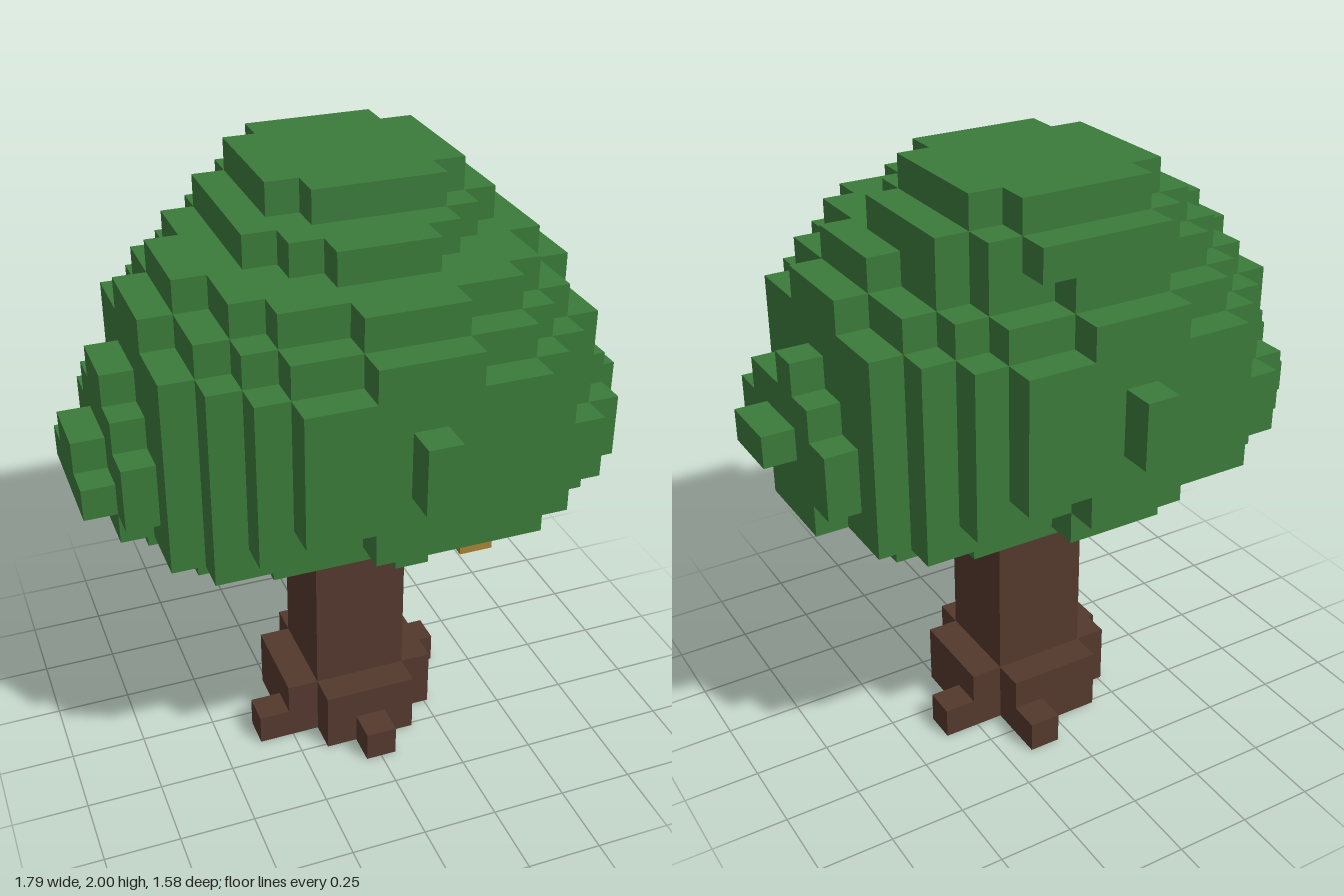
import * as THREE from 'three';
import { mergeGeometries } from 'three/addons/utils/BufferGeometryUtils.js';

const S = 2 / 19; // cube size: the tree is 19 cubes tall

// outward faces of a cube: neighbour offset and rotation of a plane facing +z
const FACES = [
  [[0, 0, 1], [0, 0, 0]],
  [[0, 0, -1], [0, Math.PI, 0]],
  [[1, 0, 0], [0, Math.PI / 2, 0]],
  [[-1, 0, 0], [0, -Math.PI / 2, 0]],
  [[0, 1, 0], [-Math.PI / 2, 0, 0]],
  [[0, -1, 0], [Math.PI / 2, 0, 0]],
];

const key = (x, y, z) => x + ',' + y + ',' + z;

export function createModel() {
  const cubes = new Map(); // cube position -> part name

  const fill = (part, x0, x1, y0, y1, z0, z1) => {
    for (let x = x0; x <= x1; x++)
      for (let y = y0; y <= y1; y++)
        for (let z = z0; z <= z1; z++) cubes.set(key(x, y, z), part);
  };
  // symmetric round layer: half width for each |z|
  const disc = (y, halves) => halves.forEach((h, z) => {
    fill('leaves', -h, h, y, y, z, z);
    fill('leaves', -h, h, y, y, -z, -z);
  });
  // uneven layer: [x0, x1] for successive z rows
  const rows = (y, z0, list) => list.forEach(([a, b], i) =>
    fill('leaves', a, b, y, y, z0 + i, z0 + i));

  // leaf crown, bottom to top
  disc(8, [5, 5, 5, 3]);
  fill('leaves', -6, -6, 8, 8, -1, 0);
  disc(9, [6, 6, 6, 6, 5]);
  disc(10, [6, 6, 6, 6, 5, 4, 1]);
  for (const y of [11, 12, 13, 14]) disc(y, [6, 6, 6, 6, 5, 4, 3]);
  disc(15, [6, 6, 5, 5, 4, 3, 1]);
  disc(16, [5, 5, 4, 4, 3, 1]);
  rows(17, -5, [[-1, 2], [-2, 3], [-3, 4], [-3, 4], [-3, 4], [-3, 4], [-3, 3], [-2, 2], [-1, 1]]);
  rows(18, -4, [[-1, 2], [-2, 3], [-2, 3], [-2, 3], [-2, 3], [-1, 2]]);

  // tufts on front, back and underside
  fill('leaves', 0, 0, 12, 13, 7, 7);
  fill('leaves', 0, 0, 12, 13, -7, -7);
  fill('leaves', 2, 3, 10, 10, 6, 6);
  fill('leaves', 0, 0, 9, 9, 5, 5);
  fill('leaves', -1, 1, 9, 9, -5, -5);

  // tufts on the +x side
  fill('leaves', 6, 6, 10, 11, 4, 4);
  fill('leaves', 7, 7, 9, 9, -1, 1);
  fill('leaves', 7, 7, 10, 11, -2, 3);
  fill('leaves', 7, 7, 12, 12, -1, 2);
  fill('leaves', 7, 7, 13, 13, 0, 0);
  fill('leaves', 8, 8, 11, 11, 0, 1);

  // tufts on the -x side
  fill('leaves', -6, -6, 10, 11, -4, -4);
  fill('leaves', -7, -7, 9, 9, -1, 1);
  fill('leaves', -7, -7, 10, 11, -3, 2);
  fill('leaves', -7, -7, 12, 12, -2, 1);
  fill('leaves', -7, -7, 13, 13, -1, 0);
  fill('leaves', -8, -8, 10, 10, -2, 1);
  fill('leaves', -8, -8, 11, 11, -1, 0);

  // hanging fruit
  fill('fruit', 2, 2, 9, 9, 5, 5);

  // trunk and side branch
  fill('trunk', -1, 1, 0, 8, -1, 1);
  fill('branch', -3, -2, 7, 7, 0, 0);

  // roots: a cross around the trunk with one stray cube per side
  fill('roots', -1, 1, 0, 1, 2, 2);
  fill('roots', -1, 1, 0, 1, -2, -2);
  fill('roots', 2, 2, 0, 1, -1, 1);
  fill('roots', -2, -2, 0, 1, -1, 1);
  for (const [x, z] of [[0, 3], [1, -3], [3, -1], [-3, 1]]) fill('roots', x, x, 0, 0, z, z);

  // one plane per exposed cube face
  const planes = FACES.map(([n, r]) => {
    const g = new THREE.PlaneGeometry(S, S);
    g.rotateX(r[0]).rotateY(r[1]);
    return g.translate(n[0] * S / 2, n[1] * S / 2, n[2] * S / 2);
  });
  const parts = {};
  for (const [k, part] of cubes) {
    const [x, y, z] = k.split(',').map(Number);
    FACES.forEach(([n], i) => {
      if (cubes.has(key(x + n[0], y + n[1], z + n[2]))) return;
      (parts[part] ??= []).push(planes[i].clone().translate(x * S, (y + 0.5) * S, z * S));
    });
  }

  const material = (name, color) => {
    const m = new THREE.MeshStandardMaterial({ color });
    m.name = name;
    return m;
  };
  const green = material('leaf green', 0x3b7a3a);
  const brown = material('bark brown', 0x54392d);
  const gold = material('fruit gold', 0xa78333);
  const colours = { leaves: green, fruit: gold, trunk: brown, branch: brown, roots: brown };

  const tree = new THREE.Group();
  tree.name = 'tree';
  for (const [name, list] of Object.entries(parts)) {
    const mesh = new THREE.Mesh(mergeGeometries(list), colours[name]);
    mesh.name = name;
    tree.add(mesh);
  }
  return tree;
}
